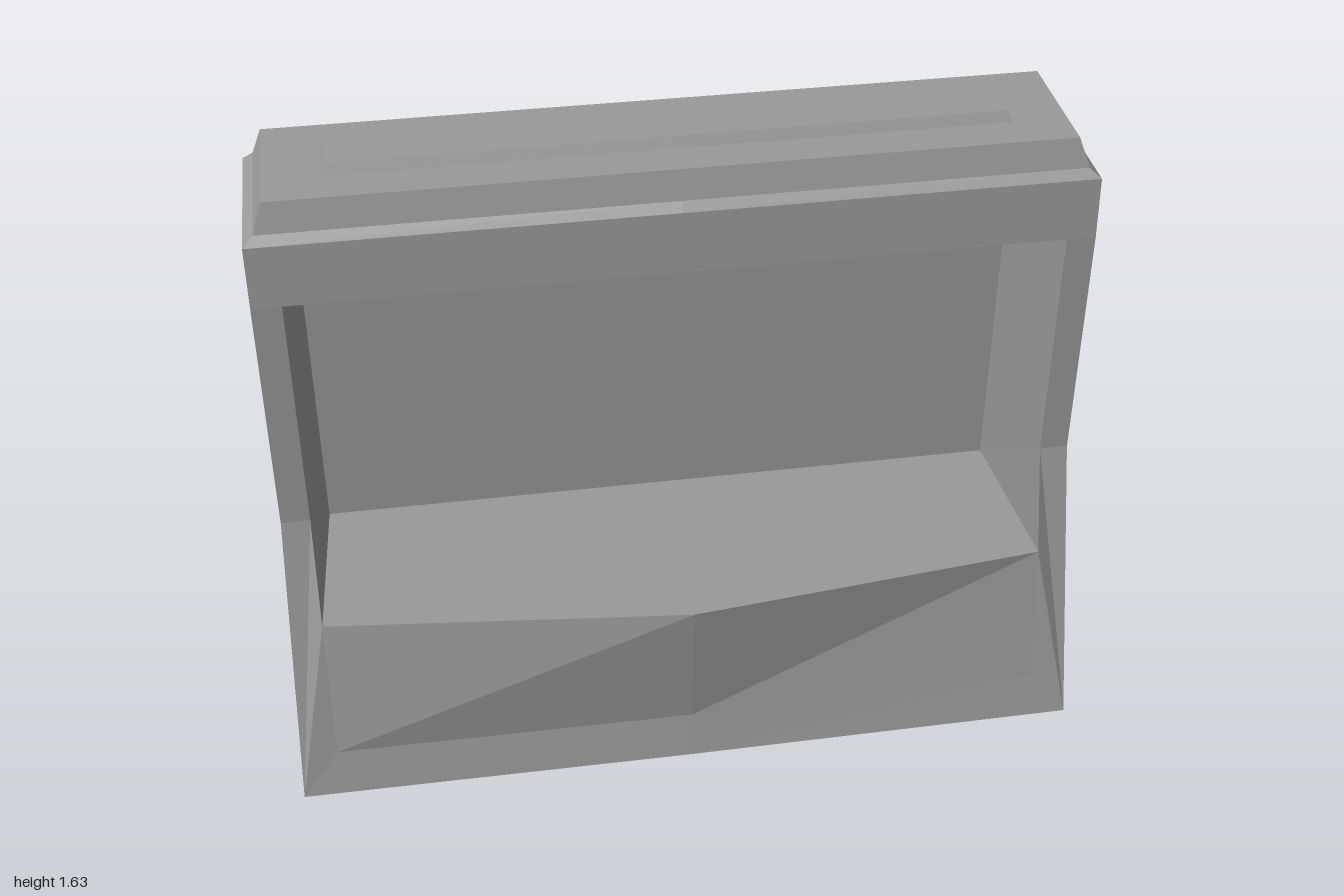
import * as THREE from 'three';

const grey = new THREE.MeshStandardMaterial({ color: 0x999999 });
grey.name = 'plainGrey';

// Builds a mesh from polygons on the +x half, each also mirrored to -x.
function mirrored(name, polys) {
  const pos = [];
  const fan = (p) => {
    for (let i = 1; i < p.length - 1; i++) pos.push(...p[0], ...p[i], ...p[i + 1]);
  };
  for (const p of polys) {
    fan(p);
    fan(p.map(([x, y, z]) => [-x, y, z]).reverse());
  }
  const g = new THREE.BufferGeometry();
  g.setAttribute('position', new THREE.Float32BufferAttribute(pos, 3));
  g.computeVertexNormals();
  const mesh = new THREE.Mesh(g, grey);
  mesh.name = name;
  return mesh;
}

// Half-polygons of stepped rectangular rings [halfWidth, y, zBack, zFront], closed by a cap.
function steppedRings(rings, inward = false) {
  const polys = [];
  rings.forEach(([w, y, b, f], i) => {
    if (i === rings.length - 1) {
      polys.push([[0, y, f], [w, y, f], [w, y, b], [0, y, b]]);
      return;
    }
    const [W, Y, B, F] = rings[i + 1];
    polys.push(
      [[0, y, f], [w, y, f], [W, Y, F], [0, Y, F]],
      [[w, y, f], [w, y, b], [W, Y, B], [W, Y, F]],
      [[w, y, b], [0, y, b], [0, Y, B], [W, Y, B]]
    );
  });
  return inward ? polys.map((p) => p.reverse()) : polys;
}

export function createModel() {
  const group = new THREE.Group();
  group.name = 'displayCabinet';

  // Outer edge of the side, front to back
  const footFront = [1, 0, 0.285], footMid = [1, 0, -0.1], footBack = [0.975, 0, -0.3];
  const knee = [0.975, 0.76, 0.12], shoulder = [0.975, 1.37, 0.12];
  const topFront = [0.975, 1.52, 0.11], topBack = [0.975, 1.52, -0.3];
  // Rim of the front opening
  const rimFoot = [0.905, 0.12, 0.26], rimShelf = [0.905, 0.49, 0.2];
  const rimKnee = [0.905, 0.76, 0.12], rimTop = [0.905, 1.37, 0.12];
  const rimMid = [0, 1.37, 0.12], footMidFront = [0, 0, 0.29];
  const prowFoot = [0, 0.12, 0.268], prowTop = [0, 0.49, 0.3];
  // Rear wall of the opening
  const wallLow = [0.875, 0.49, -0.24], wallHigh = [0.875, 1.35, -0.24];
  const wallMidLow = [0, 0.49, -0.24], wallMidHigh = [0, 1.35, -0.24];

  // Front frame, apron and back
  group.add(mirrored('frontFrame', [
    [footFront, knee, rimKnee], [footFront, rimKnee, rimShelf], [footFront, rimShelf, rimFoot],
    [footMidFront, footFront, rimFoot, prowFoot],
    [knee, shoulder, rimTop, rimKnee],
    [rimTop, shoulder, topFront, [0, 1.52, 0.11], rimMid],
  ]));
  group.add(mirrored('frontApron', [[prowFoot, rimFoot, rimShelf, prowTop]]));
  group.add(mirrored('backPanel', [[footBack, [0, 0, -0.3], [0, 1.52, -0.3], topBack]]));

  // Alcove with pointed shelf
  group.add(mirrored('alcove', [
    [wallLow, rimShelf, rimKnee, rimTop, wallHigh],
    [rimTop, rimMid, wallMidHigh, wallHigh],
    [wallLow, wallHigh, wallMidHigh, wallMidLow],
  ]));
  group.add(mirrored('shelf', [[wallMidLow, prowTop, rimShelf, wallLow]]));

  // Sides with a shallow bevelled recess
  const a = [0.997, 0.08, 0.085], b = [0.975, 0.76, 0.085], c = [0.975, 1.44, 0.085];
  const d = [0.975, 1.44, -0.27], e = [0.979, 0.08, -0.27];
  const fx = 0.962;
  const A = [fx, 0.165, 0.055], B = [fx, 0.76, 0.055], C = [fx, 1.36, 0.055];
  const D = [fx, 1.36, -0.245], E = [fx, 0.165, -0.245];
  group.add(mirrored('sideFrames', [
    [footFront, a, b, knee], [knee, b, c, shoulder], [shoulder, c, topFront],
    [c, d, topBack, topFront], [e, footBack, topBack, d],
    [footFront, footMid, a], [footMid, e, a], [footMid, footBack, e],
  ]));
  group.add(mirrored('sideRecesses', [
    [a, A, B, b], [b, B, C, c], [C, D, d, c], [E, e, d, D], [a, e, E, A], [A, E, D, C],
  ]));

  // Raised bar on each side
  const bar = (x, y0, y1, z0, z1) => [[x, y0, z1], [x, y0, z0], [x, y1, z0], [x, y1, z1]];
  const low = bar(fx, 0.31, 1.21, -0.178, -0.013), high = bar(0.976, 0.36, 1.16, -0.165, -0.026);
  const barPolys = [high];
  for (let i = 0; i < 4; i++) {
    const j = (i + 1) % 4;
    barPolys.push([low[i], low[j], high[j], high[i]]);
  }
  group.add(mirrored('sideBars', barPolys));

  // Stepped lid with a narrow ridge
  group.add(mirrored('steppedTop', steppedRings([
    [0.975, 1.52, -0.3, 0.11], [0.95, 1.54, -0.285, 0.09], [0.925, 1.61, -0.265, 0.07],
    [0.795, 1.61, -0.175, -0.025], [0.783, 1.635, -0.16, -0.038],
  ])));

  // Underside: flat rim and a matching stepped hollow
  const r1 = [0.95, 0, 0.09], r0 = [0.95, 0, -0.285];
  group.add(mirrored('bottomRim', [
    [footMidFront, [0, 0, 0.09], r1, footFront],
    [footFront, r1, r0, footBack, footMid],
    [footBack, r0, [0, 0, -0.285], [0, 0, -0.3]],
  ]));
  group.add(mirrored('bottomHollow', steppedRings([
    [0.95, 0, -0.285, 0.09], [0.925, 0.07, -0.265, 0.07],
    [0.795, 0.07, -0.175, -0.025], [0.783, 0.095, -0.16, -0.038],
  ], true)));

  return group;
}
